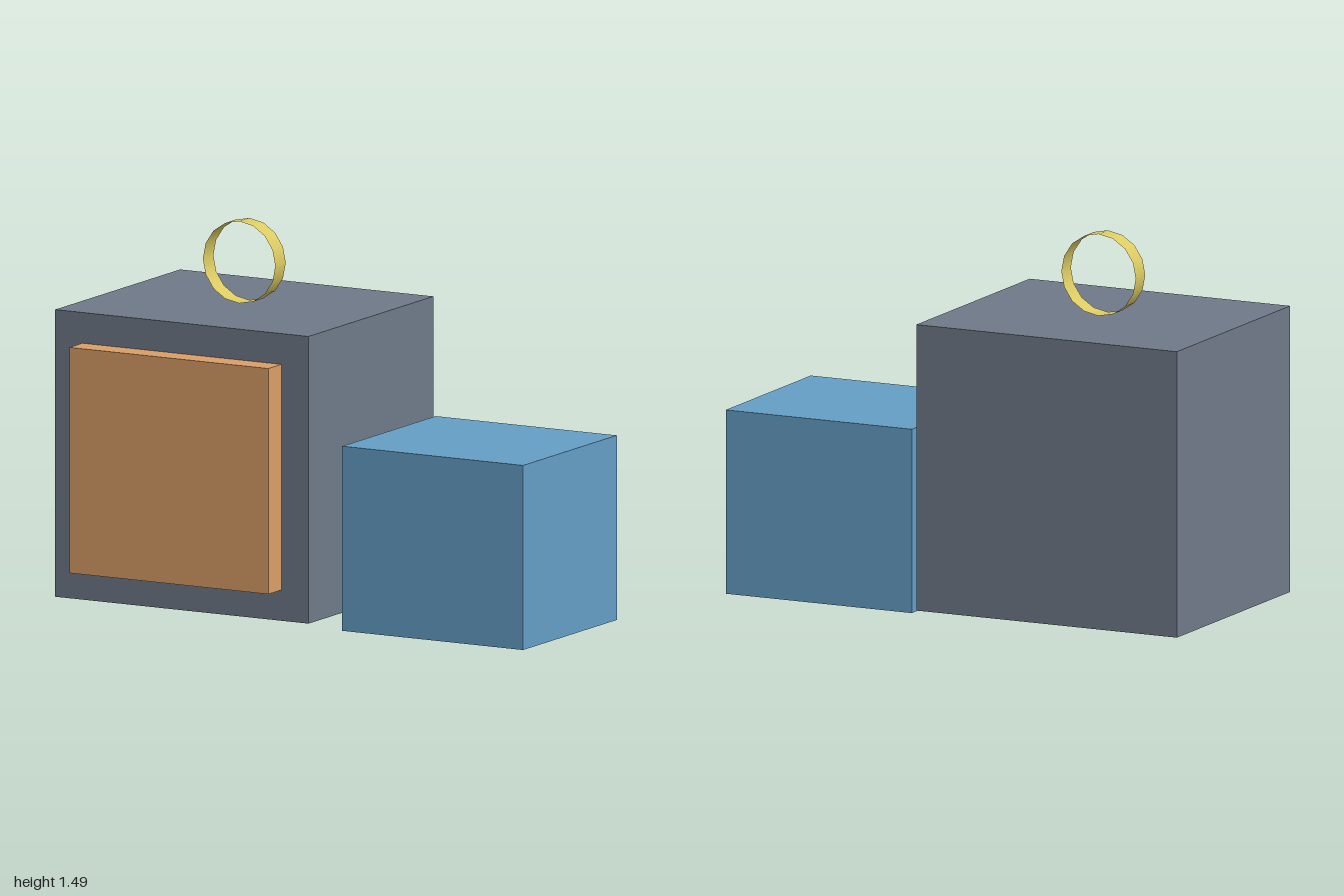
import * as THREE from 'three';

export function createModel() {
  const group = new THREE.Group();

  const add = (name, geometry, color, x, y, z, side = THREE.FrontSide) => {
    const mesh = new THREE.Mesh(geometry, new THREE.MeshStandardMaterial({ color, side }));
    mesh.name = name;
    mesh.position.set(x, y, z);
    group.add(mesh);
    return mesh;
  };

  // Large body with a raised panel on its front
  add('body', new THREE.BoxGeometry(1.12, 1.12, 0.96), 0x6f7988, -0.44, 0.6, -0.05);
  add('frontPanel', new THREE.BoxGeometry(0.88, 0.88, 0.1), 0xd99e66, -0.44, 0.6, 0.48);

  // Smaller block standing on the ground beside the body
  add('sideBlock', new THREE.BoxGeometry(0.8, 0.72, 0.72), 0x659ec5, 0.6, 0.36, -0.05);

  // Thin open band standing upright on the body, its axis along z
  const ring = new THREE.CylinderGeometry(0.16, 0.16, 0.08, 16, 1, true).rotateX(Math.PI / 2);
  add('topRing', ring, 0xdccb62, -0.44, 1.325, -0.05, THREE.DoubleSide);

  return group;
}
